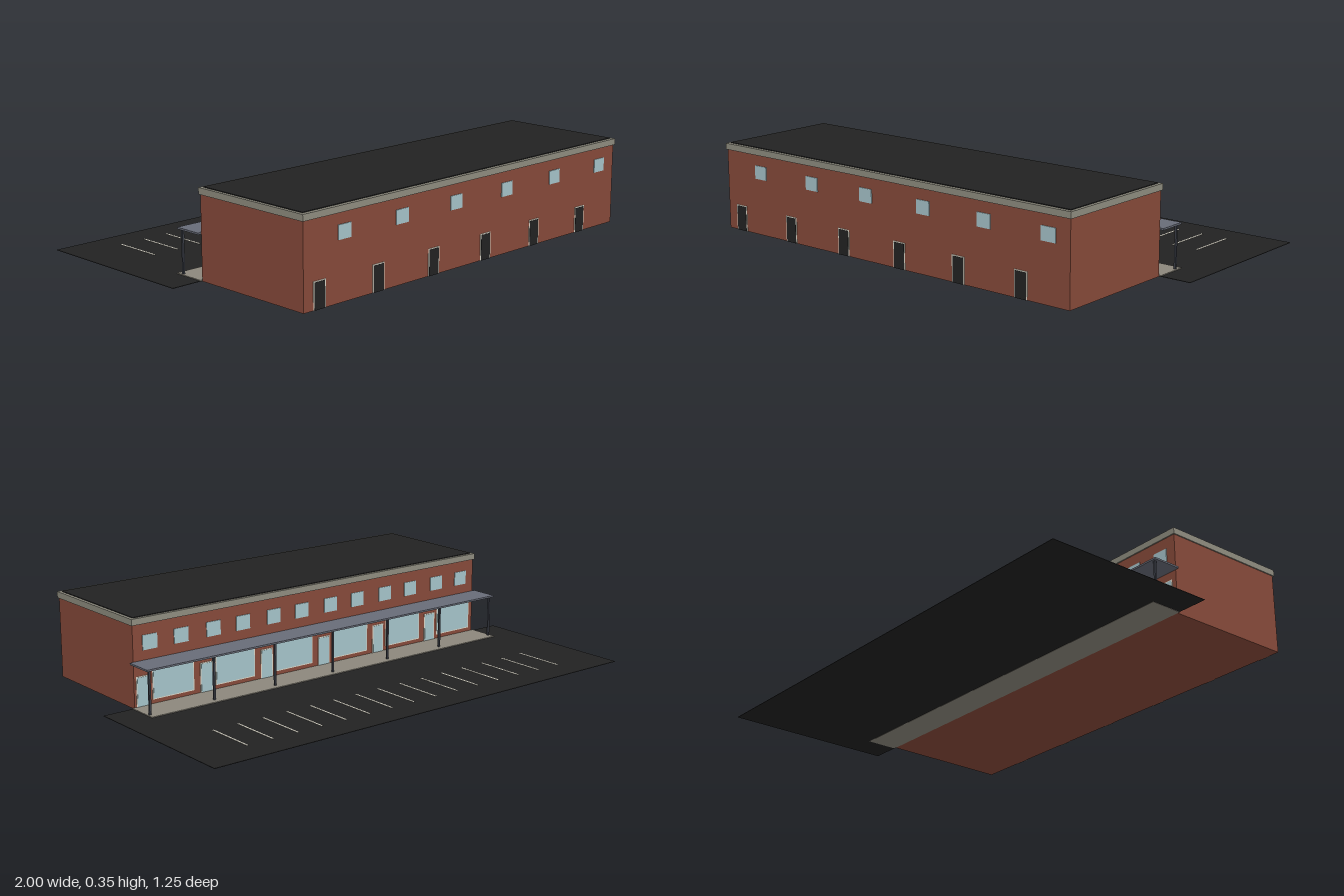
import * as THREE from 'three';

const mat = (name, color) => {
  const m = new THREE.MeshStandardMaterial({ color });
  m.name = name;
  return m;
};

export function createModel() {
  const brick = mat('brick', 0x874a3a);
  const trim = mat('parapet stone', 0x8f8d80);
  const paving = mat('paving', 0x8c877c);
  const tar = mat('asphalt', 0x222222);
  const glass = mat('glass', 0xa6c4ca);
  const cream = mat('cream paint', 0xd8d4c6);
  const slate = mat('canopy slate', 0x686c78);
  const steel = mat('post steel', 0x3a3d46);

  const model = new THREE.Group();
  model.name = 'shopParade';

  // Box given by its min and max on each axis
  const box = (name, material, [x0, x1], [y0, y1], [z0, z1], parent = model) => {
    const mesh = new THREE.Mesh(new THREE.BoxGeometry(x1 - x0, y1 - y0, z1 - z0), material);
    mesh.position.set((x0 + x1) / 2, (y0 + y1) / 2, (z0 + z1) / 2);
    mesh.name = name;
    parent.add(mesh);
    return mesh;
  };
  const group = (name) => {
    const g = new THREE.Group();
    g.name = name;
    model.add(g);
    return g;
  };
  const around = (c, w) => [c - w / 2, c + w / 2];

  const FRONT = 0.62, BACK = 0.086, BAYS = 6, BAY = 0.2883;

  // Main block, parapet band and roof
  box('brickWalls', brick, [-0.865, 0.865], [0, 0.33], [BACK, FRONT]);
  box('parapetBand', trim, [-0.87, 0.87], [0.324, 0.349], [BACK - 0.005, FRONT + 0.005]);
  box('roof', tar, [-0.857, 0.857], [0.34, 0.352], [BACK + 0.008, FRONT - 0.011]);

  // Car park, walkway and bay lines
  box('carPark', tar, [-1, 1], [0.001, 0.003], [-0.625, BACK]);
  box('walkway', paving, [-0.875, 0.875], [0, 0.006], [-0.047, BACK]);
  const lines = group('parkingLines');
  for (let i = -7; i <= 7; i++) {
    box('parkingLine', cream, around(i * 0.1112, 0.007), [0.003, 0.004], [-0.51, -0.3], lines);
  }

  // Canopy on slim posts
  box('canopy', slate, [-0.88, 0.88], [0.176, 0.183], [-0.032, BACK]);
  const posts = group('canopyPosts');
  for (let i = 0; i <= BAYS; i++) {
    box('canopyPost', steel, around((i - BAYS / 2) * BAY, 0.008), [0.006, 0.176], [-0.024, -0.016], posts);
  }

  const service = group('serviceSide');
  const shops = group('shopSide');
  for (let i = 0; i < BAYS; i++) {
    const c = (i - (BAYS - 1) / 2) * BAY;

    // Service door and window on the plain side
    box('serviceDoorFrame', cream, around(c - 0.07, 0.058), [0, 0.104], [FRONT, FRONT + 0.002], service);
    box('serviceDoor', tar, around(c - 0.07, 0.05), [0, 0.1], [FRONT, FRONT + 0.003], service);
    box('serviceWindow', glass, around(c + 0.05, 0.063), [0.227, 0.281], [FRONT, FRONT + 0.003], service);

    // Upper windows on the shop side
    for (const s of [-1, 1]) {
      box('upperWindow', glass, around(c + s * 0.07, 0.065), [0.222, 0.28], [BACK - 0.003, BACK], shops);
    }

    // Display window and glazed door under the canopy
    box('displayFrame', cream, around(c - 0.03, 0.188), [0.022, 0.144], [BACK - 0.002, BACK], shops);
    box('displayWindow', glass, around(c - 0.03, 0.18), [0.026, 0.14], [BACK - 0.003, BACK], shops);
    box('shopDoorFrame', cream, around(c + 0.106, 0.058), [0.006, 0.124], [BACK - 0.002, BACK], shops);
    box('shopDoor', glass, around(c + 0.106, 0.05), [0.006, 0.12], [BACK - 0.003, BACK], shops);
  }

  return model;
}
